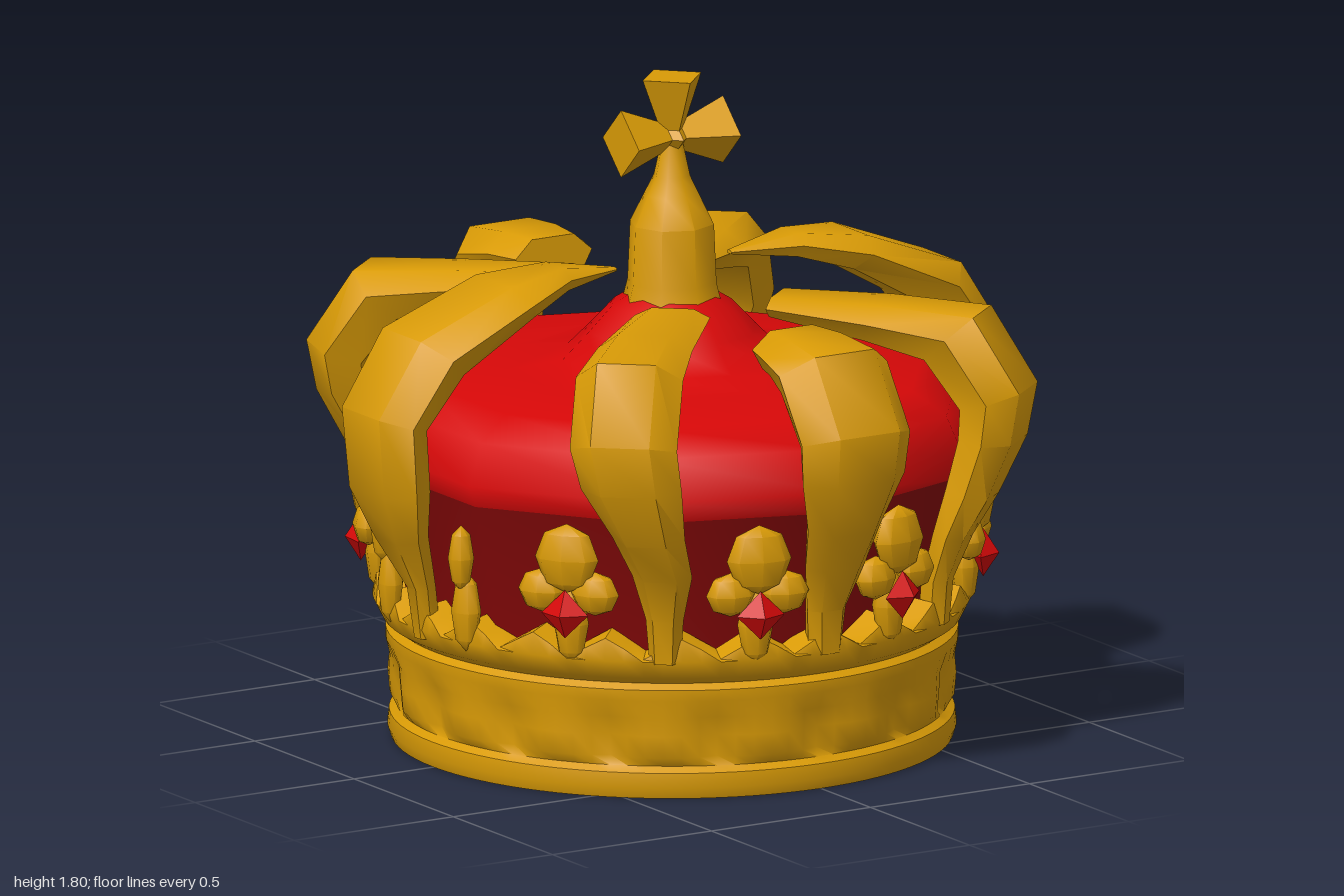
import * as THREE from 'three';
import { toCreasedNormals } from 'three/addons/utils/BufferGeometryUtils.js';

const material = (name, color) => {
  const m = new THREE.MeshStandardMaterial({ color });
  m.name = name;
  return m;
};

export function createModel() {
  const gold = material('gold', 0xd89a06);
  const red = material('bright red', 0xd60808);
  const darkRed = material('dark red', 0x860808);
  const crown = new THREE.Group();
  crown.name = 'crown';
  const deg = Math.PI / 180;

  const add = (parent, name, geometry, mat, x = 0, y = 0, z = 0) => {
    const mesh = new THREE.Mesh(geometry, mat);
    mesh.name = name;
    mesh.position.set(x, y, z);
    parent.add(mesh);
    return mesh;
  };
  const lathe = (points, sides) =>
    new THREE.LatheGeometry(points.map(([r, y]) => new THREE.Vector2(r, y)), sides);
  const crease = (geometry, angle = 0.8) => toCreasedNormals(geometry, angle);

  // Headband: rims, a zone of raised arches, and a top edge rising into leaf points
  const band = lathe([[0.75, 0], [0.76, 0.03], [0.755, 0.07], [0.735, 0.085],
    [0.725, 0.11], [0.73, 0.17], [0.74, 0.22], [0.765, 0.27], [0.765, 0.3],
    [0.745, 0.315], [0.775, 0.335], [0.8, 0.385], [0.79, 0.41], [0.71, 0.42]], 96);
  const p = band.attributes.position;
  for (let i = 0; i < p.count; i++) {
    const y = p.getY(i);
    const angle = Math.atan2(p.getX(i), p.getZ(i));
    if (y > 0.1 && y < 0.25) {
      const k = 1 + 0.04 * Math.abs(Math.sin(angle * 8)) * (y < 0.2 ? 1 : 0.5);
      p.setX(i, p.getX(i) * k);
      p.setZ(i, p.getZ(i) * k);
    } else if (y > 0.4) {
      p.setY(i, y - 0.02 + 0.055 * Math.cos(angle * 12) ** 2);
    }
  }
  add(crown, 'headband', crease(band), gold);

  // Conical lining facing inward
  add(crown, 'lining', lathe([[0, 0.6], [0.75, 0]], 24), gold);

  // Ten-sided cloth cap, darker below
  add(crown, 'lowerCap', lathe([[0.72, 0.36], [0.75, 0.55], [0.815, 0.77]], 10), darkRed);
  add(crown, 'upperCap', lathe([[0.815, 0.77], [0.84, 0.83], [0.79, 0.94], [0.69, 1.0],
    [0.46, 1.02], [0.3, 1.04], [0.23, 1.11], [0.165, 1.18], [0.1, 1.22]], 10), red);

  // Arch lofted through stations of [outer r, outer y, inner r, inner y, half width, sideways shift]
  function archGeometry(stations, angle, widthScale = 1, lean = 0) {
    const collapse = ([ro, yo, ri, yi, , shift]) =>
      [(ro + ri) / 2, (yo + yi) / 2, (ro + ri) / 2, (yo + yi) / 2, 0, shift];
    const rows = [collapse(stations[0]), ...stations, collapse(stations[stations.length - 1])];
    const section = [[-0.55, 0], [0.55, 0], [1, 0.45], [0.7, 1], [-0.7, 1], [-1, 0.45]];
    const n = section.length, positions = [], index = [];
    const s = Math.sin(angle), c = Math.cos(angle);
    rows.forEach(([ro, yo, ri, yi, w, shift = 0], row) => {
      for (const [side, depth] of section) {
        const r = ro + (ri - ro) * depth;
        const t = side * w * widthScale + shift * lean;
        positions.push(r * s + t * c, yo + (yi - yo) * depth, r * c - t * s);
      }
      if (row === 0) return;
      for (let j = 0; j < n; j++) {
        const a = (row - 1) * n + j, b = (row - 1) * n + (j + 1) % n;
        index.push(a, b, a + n, b + n, a + n, b);
      }
    });
    const g = new THREE.BufferGeometry();
    g.setAttribute('position', new THREE.Float32BufferAttribute(positions, 3));
    g.setIndex(index);
    return crease(g, 0.85);
  }

  const curve = [[0.80, 0.38, 0.73, 0.38, 0.05, 0.09], [0.81, 0.5, 0.74, 0.5, 0.06, 0.09],
    [0.86, 0.62, 0.78, 0.64, 0.095, 0.09], [0.92, 0.73, 0.81, 0.76, 0.115, 0.06],
    [0.98, 0.88, 0.84, 0.89, 0.16, 0.02], [1.0, 1.02, 0.84, 0.97, 0.17],
    [0.87, 1.22, 0.74, 1.1, 0.17]];
  const shortArch = [...curve, [0.72, 1.235, 0.66, 1.13, 0.15], [0.6, 1.235, 0.59, 1.13, 0.12]];
  const longArch = [...curve, [0.6, 1.235, 0.57, 1.14, 0.15, 0.01],
    [0.31, 1.24, 0.31, 1.19, 0.12, 0.045]];
  const highArch = [[0.80, 0.36, 0.74, 0.36, 0.03], [0.82, 0.5, 0.76, 0.5, 0.04],
    [0.9, 0.64, 0.81, 0.66, 0.1], [0.96, 0.78, 0.83, 0.79, 0.16], [0.98, 1.0, 0.845, 0.96, 0.17],
    [0.85, 1.2, 0.73, 1.1, 0.175], [0.56, 1.31, 0.5, 1.23, 0.165],
    [0.37, 1.33, 0.36, 1.27, 0.08], [0.18, 1.3, 0.18, 1.29, 0.012]];

  for (const a of [0, 180]) add(crown, 'shortArch', archGeometry(shortArch, a * deg), gold);
  for (const a of [90, 270]) add(crown, 'highArch', archGeometry(highArch, a * deg), gold);
  for (const [a, lean] of [[40, -1], [140, 1], [220, -1], [320, 1]])
    add(crown, 'diagonalArch', archGeometry(longArch, a * deg, 0.85, lean), gold);

  // Ornaments around the band, mirrored into all four quarters
  const lobe = crease(new THREE.SphereGeometry(1, 8, 4));
  const gem = crease(new THREE.OctahedronGeometry(0.066), 0.1);
  const quarters = (a) => [a, 180 - a, 180 + a, 360 - a];
  const station = (name, a, r) => {
    const g = new THREE.Group();
    g.name = name;
    g.position.set(r * Math.sin(a * deg), 0, r * Math.cos(a * deg));
    g.rotation.y = a * deg;
    crown.add(g);
    return g;
  };

  for (const a of [...quarters(15.5), ...quarters(52)]) {
    const flower = station('trefoil', a, 0.795);
    add(flower, 'topLobe', lobe, gold, 0, 0.665, 0.025).scale.set(0.09, 0.095, 0.045);
    for (const side of [-1, 1])
      add(flower, 'sideLobe', lobe, gold, side * 0.075, 0.57, 0.01).scale.set(0.068, 0.06, 0.045);
    add(flower, 'stem', lobe, gold, 0, 0.48, -0.01).scale.set(0.05, 0.11, 0.04);
    add(flower, 'gem', gem, red, 0, 0.515, 0.04).scale.z = 0.65;
  }

  // Slender finials beside the high arches
  for (const a of quarters(76)) {
    const finial = station('finial', a, 0.79);
    add(finial, 'bud', lobe, gold, 0, 0.62, 0.02).scale.set(0.035, 0.09, 0.035);
    add(finial, 'shaft', lobe, gold, 0, 0.47, 0).scale.set(0.045, 0.11, 0.035);
  }

  // Spire
  add(crown, 'spire', crease(lathe([[0, 1.17], [0.14, 1.17], [0.122, 1.24], [0.115, 1.4],
    [0.075, 1.48], [0.05, 1.53], [0.03, 1.62]], 8)), gold);

  // Cross with three flared four-sided arms above the neck
  const cross = new THREE.Group();
  cross.name = 'cross';
  cross.position.y = 1.635;
  crown.add(cross);
  add(cross, 'hub', new THREE.OctahedronGeometry(0.06), gold);
  const arm = crease(new THREE.CylinderGeometry(0.092, 0.028, 0.165, 4), 0.1);
  for (const turn of [-1, 0, 1]) {
    const holder = new THREE.Group();
    holder.name = 'crossArm';
    holder.rotation.z = turn * Math.PI / 2;
    cross.add(holder);
    add(holder, 'arm', arm, gold, 0, turn === 0 ? 0.0825 : 0.078, 0);
  }

  return crown;
}
